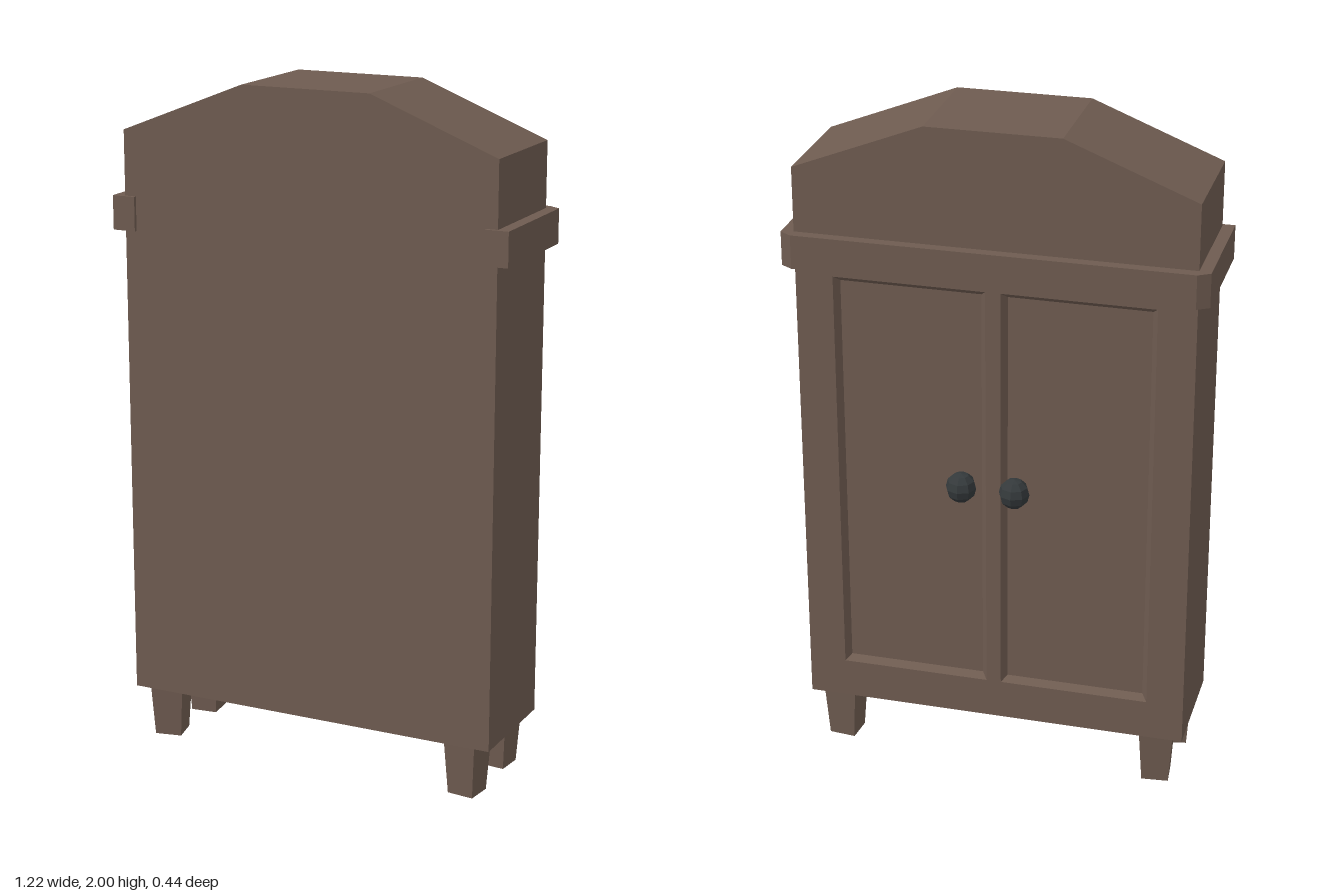
import * as THREE from 'three';

const wood = new THREE.MeshStandardMaterial({ color: 0x6e5b50, flatShading: true });
const iron = new THREE.MeshStandardMaterial({ color: 0x34393b, flatShading: true });
const BACK = 0.21, FACE = -0.14, RECESS = -0.12;

const path = (pts, Type = THREE.Shape) => new Type(pts.map(([x, y]) => new THREE.Vector2(x, y)));
const rect = (x0, x1, y0, y1) => [[x0, y0], [x1, y0], [x1, y1], [x0, y1]];
const extrude = (shape, depth) => new THREE.ExtrudeGeometry(shape, { depth, bevelEnabled: false });

// Sloped lip running from the door face down to the recessed panel
function lipGeometry(outer, inner) {
  const pos = [];
  for (let i = 0; i < 4; i++) {
    const j = (i + 1) % 4;
    const a = [...outer[i], FACE], b = [...outer[j], FACE];
    const c = [...inner[j], RECESS], d = [...inner[i], RECESS];
    pos.push(...a, ...c, ...b, ...a, ...d, ...c);
  }
  const geo = new THREE.BufferGeometry();
  geo.setAttribute('position', new THREE.Float32BufferAttribute(pos, 3));
  geo.computeVertexNormals();
  return geo;
}

export function createModel() {
  const model = new THREE.Group();
  const add = (name, geo, mat = wood, parent = model) => {
    const mesh = new THREE.Mesh(geo, mat);
    mesh.name = name;
    parent.add(mesh);
    return mesh;
  };

  // Cabinet body with a faceted arched top
  const outline = [[-0.575, 0.16], [0.575, 0.16], [0.575, 1.85], [0.195, 2], [-0.195, 2], [-0.575, 1.85]];
  add('cabinetBody', extrude(path(outline), BACK - RECESS).translate(0, 0, RECESS));

  // Door face with two openings, each with a sloped lip
  const face = path(outline);
  const doors = [[-0.465, -0.022, 'rightDoorLip'], [0.022, 0.465, 'leftDoorLip']];
  const inset = 0.016;
  for (const [x0, x1, name] of doors) {
    const outer = rect(x0, x1, 0.28, 1.535);
    face.holes.push(path(outer, THREE.Path));
    const lip = add(name, lipGeometry(outer, rect(x0 + inset, x1 - inset, 0.28 + inset, 1.535 - inset)), wood.clone());
    lip.material.side = THREE.DoubleSide;
  }
  add('doorFrame', extrude(face, RECESS - FACE).translate(0, 0, FACE));

  // Cornice wrapping the door side and both ends
  const cornice = path([
    [0.61, -0.22], [0.61, 0.15], [0.575, 0.172], [-0.575, 0.172], [-0.61, 0.15], [-0.61, -0.22],
    [-0.54, -0.22], [-0.54, 0.12], [0.54, 0.12], [0.54, -0.22],
  ]);
  add('cornice', extrude(cornice, 0.1).rotateX(-Math.PI / 2).translate(0, 1.56, 0));

  // Door knobs
  for (const [x, name] of [[-0.072, 'rightKnob'], [0.085, 'leftKnob']]) {
    add(name, new THREE.SphereGeometry(0.045, 8, 6), iron).position.set(x, 0.94, -0.178);
  }

  // Tapered square legs, each slightly turned
  const legs = new THREE.Group();
  legs.name = 'legs';
  model.add(legs);
  const legGeo = new THREE.CylinderGeometry(0.1 / Math.SQRT2, 0.08 / Math.SQRT2, 0.165, 4).rotateY(Math.PI / 4);
  for (const [x, z, turn] of [[-0.5, 0.13, 0.2], [0.485, 0.15, -0.12], [-0.49, -0.082, 0.1], [0.485, -0.08, -0.1]]) {
    const leg = add('leg', legGeo, wood, legs);
    leg.position.set(x, 0.0825, z);
    leg.rotation.y = turn;
  }

  return model;
}
